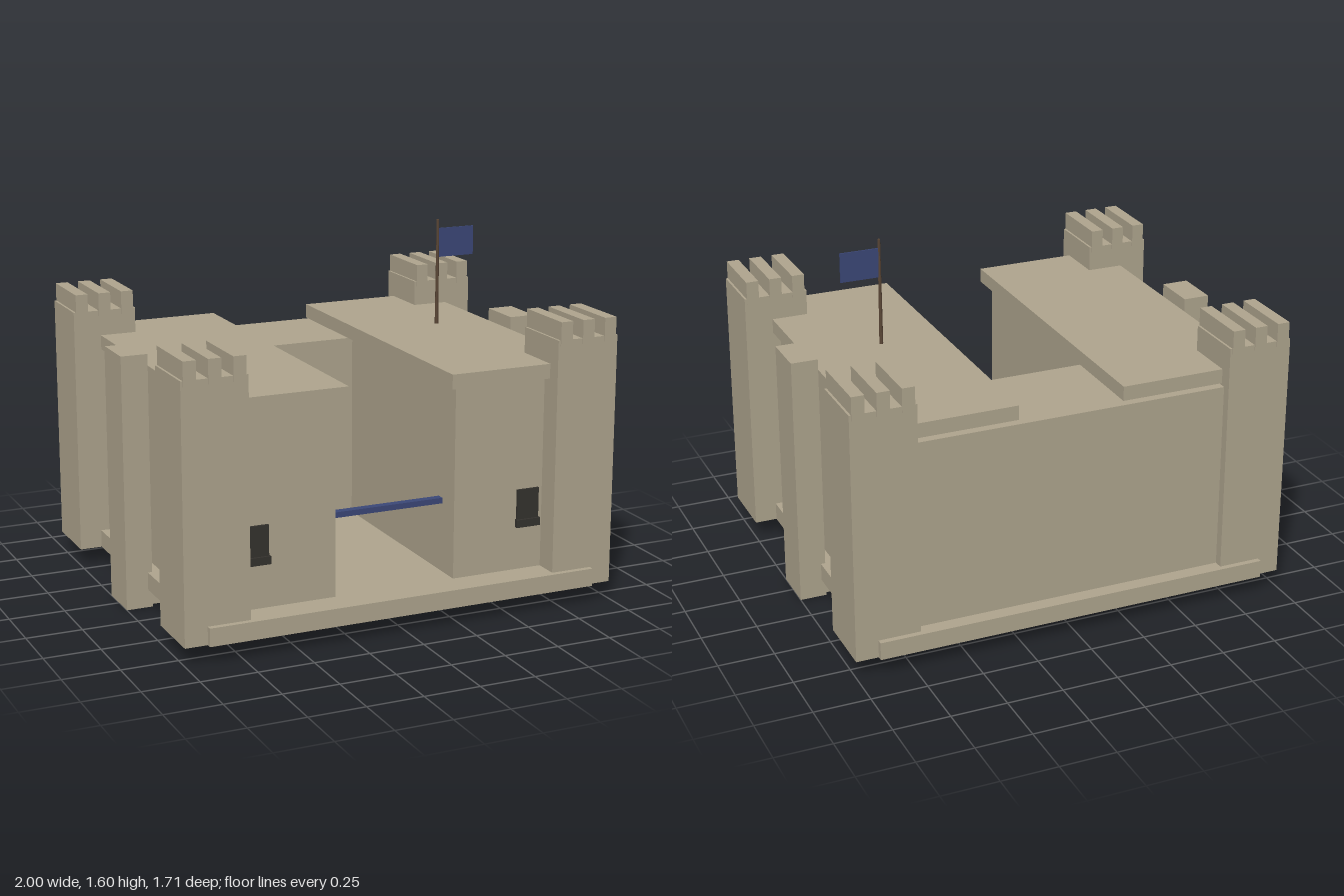
import * as THREE from 'three';

const mat = (color) => new THREE.MeshStandardMaterial({ color, flatShading: true });

export function createModel() {
  const castle = new THREE.Group();
  castle.name = 'castle';
  const stone = mat(0xb0a68f), dark = mat(0x35332e), blue = mat(0x3c4878), wood = mat(0x5a4636);

  // Box given by its extents along each axis
  function box(name, [x0, x1], [y0, y1], [z0, z1], material = stone, parent = castle) {
    const mesh = new THREE.Mesh(new THREE.BoxGeometry(Math.abs(x1 - x0), y1 - y0, z1 - z0), material);
    mesh.position.set((x0 + x1) / 2, (y0 + y1) / 2, (z0 + z1) / 2);
    mesh.name = name;
    parent.add(mesh);
    return mesh;
  }

  // Base slab and rear hall
  box('base', [-0.9, 0.9], [0.08, 0.16], [-0.855, 0.855]);
  box('rearHall', [-0.86, 0.86], [0.16, 1.01], [-0.79, -0.325]);
  box('door', [-0.1, 0.1], [0.16, 0.56], [-0.325, -0.295], dark);
  box('gateBar', [-0.28, 0.28], [0.47, 0.495], [0.575, 0.61], blue);

  for (const s of [-1, 1]) {
    const side = s > 0 ? 'left' : 'right';
    const span = (a, b) => [s * a, s * b];

    // Side wing with its overhanging roof
    box(side + 'Wing', span(0.28, 0.84), [0.16, 1.01], [-0.325, 0.72]);
    box(side + 'Roof', span(0.24, 0.875), [1.02, 1.085], [-0.77, 0.765]);

    // Window and sill
    box(side + 'Window', span(0.585, 0.69), [0.385, 0.525], [0.71, 0.73], dark);
    box(side + 'WindowSill', span(0.58, 0.695), [0.355, 0.39], [0.71, 0.74], dark);

    // Buttress and the block joining it to the wing
    box(side + 'Buttress', span(0.88, 1), [0, 1.14], [-0.105, 0.105]);
    box(side + 'ButtressFoot', span(0.8, 0.89), [0.01, 0.16], [-0.1, 0.1]);

    // Corner towers with long merlons
    for (const t of [-1, 1]) {
      const tower = new THREE.Group();
      tower.name = side + (t > 0 ? 'FrontTower' : 'BackTower');
      castle.add(tower);
      const z = t * 0.685;
      box('towerShaft', span(0.71, 1), [0.08, 1.2], [z - 0.145, z + 0.145], stone, tower);
      for (const x of [0.748, 0.855, 0.962]) {
        box('merlon', span(x - 0.028, x + 0.028), [1.175, 1.28], [z - 0.149, z + 0.149], stone, tower);
      }
    }
  }

  // Flag on its pole
  const pole = new THREE.Mesh(new THREE.CylinderGeometry(0.006, 0.009, 0.48, 8), wood);
  pole.name = 'flagPole';
  pole.position.set(0.553, 1.36, 0);
  castle.add(pole);
  box('flag', [0.558, 0.732], [1.428, 1.56], [-0.003, 0.003], blue);

  return castle;
}
